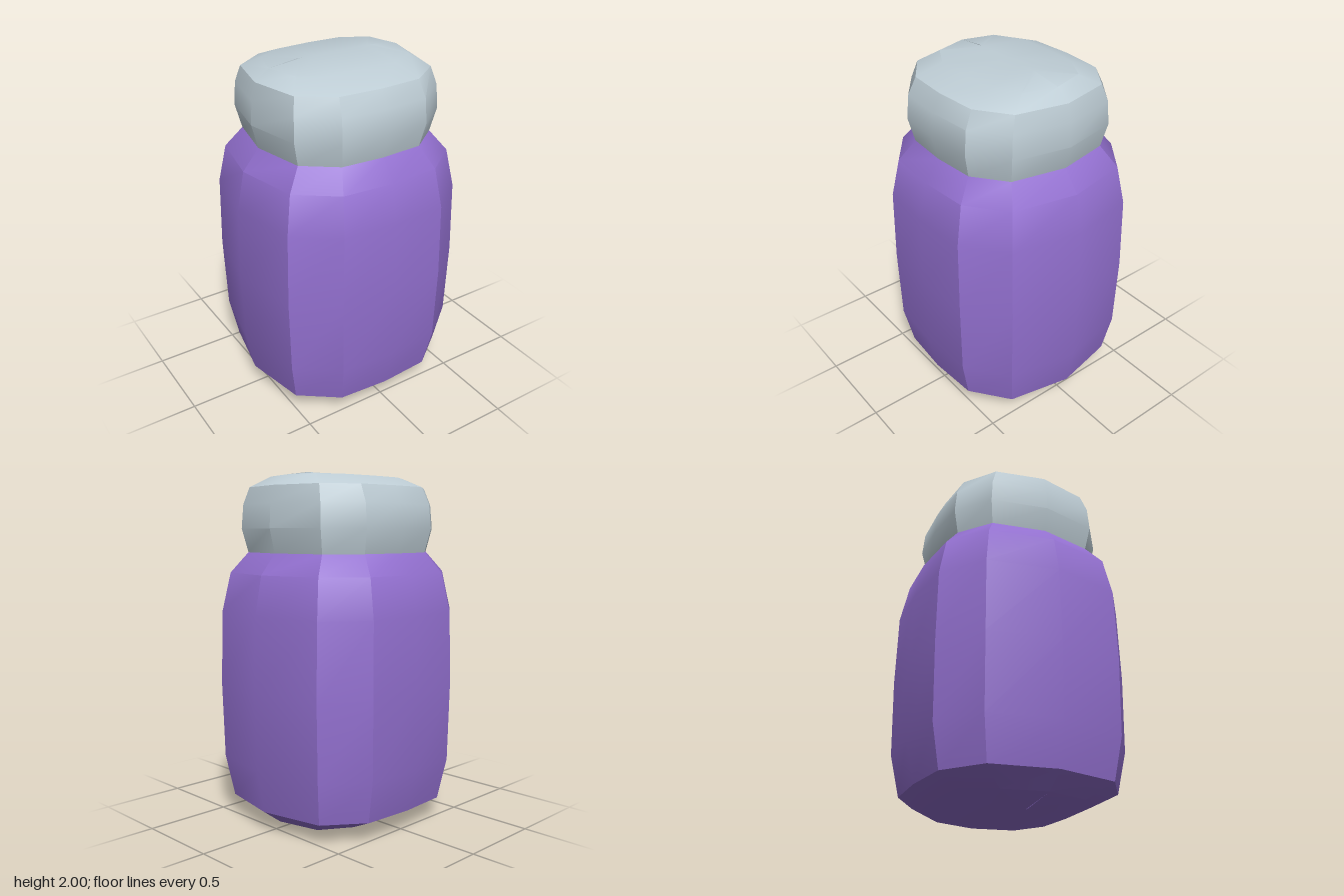
import * as THREE from 'three';
import { toCreasedNormals } from 'three/addons/utils/BufferGeometryUtils.js';

// One quarter of the rounded-square, twelve-sided outline, mirrored to the full loop
const quarter = [[1, 0], [0.872, 0.665], [0.505, 0.962]];
const outline = [
  ...quarter,
  [0, 1], [-0.505, 0.962], [-0.872, 0.665],
  ...quarter.map(([x, z]) => [-x, -z]),
  [0, -1], [0.505, -0.962], [0.872, -0.665],
];

// Skins a stack of outlines, listed bottom to top as [y, half width, half depth]
function loft(rings) {
  const n = outline.length;
  const positions = [];
  const index = [];
  for (const [y, rx, rz] of rings) {
    for (const [x, z] of outline) positions.push(x * rx, y, z * rz);
  }
  for (let j = 0; j < rings.length - 1; j++) {
    for (let i = 0; i < n; i++) {
      const a = j * n + i;
      const b = j * n + (i + 1) % n;
      index.push(a, a + n, b, b, a + n, b + n);
    }
  }
  const geometry = new THREE.BufferGeometry();
  geometry.setAttribute('position', new THREE.Float32BufferAttribute(positions, 3));
  geometry.setIndex(index);
  return toCreasedNormals(geometry, 0.5);
}

export function createModel() {
  const purple = new THREE.MeshStandardMaterial({ color: 0x9370d0 });
  purple.name = 'purple';
  const paleGrey = new THREE.MeshStandardMaterial({ color: 0xbfced6 });
  paleGrey.name = 'pale blue grey';

  const group = new THREE.Group();
  group.name = 'jar';
  const add = (name, rings, material) => {
    const mesh = new THREE.Mesh(loft(rings), material);
    mesh.name = name;
    group.add(mesh);
  };

  // Barrel-shaped body: the bottom closes in a short ridge, the shoulder meets the lid
  add('body', [
    [0, 0.24, 0],
    [0.035, 0.47, 0.37],
    [0.12, 0.585, 0.547],
    [0.36, 0.63, 0.597],
    [0.8, 0.643, 0.605],
    [1.22, 0.63, 0.597],
    [1.44, 0.585, 0.55],
    [1.555, 0.488, 0.46],
  ], purple);

  // Rounded lid with a shallow dome
  add('lid', [
    [1.555, 0.488, 0.46],
    [1.69, 0.522, 0.491],
    [1.825, 0.514, 0.477],
    [1.92, 0.489, 0.43],
    [1.978, 0.405, 0.28],
    [2, 0.24, 0],
  ], paleGrey);

  return group;
}
